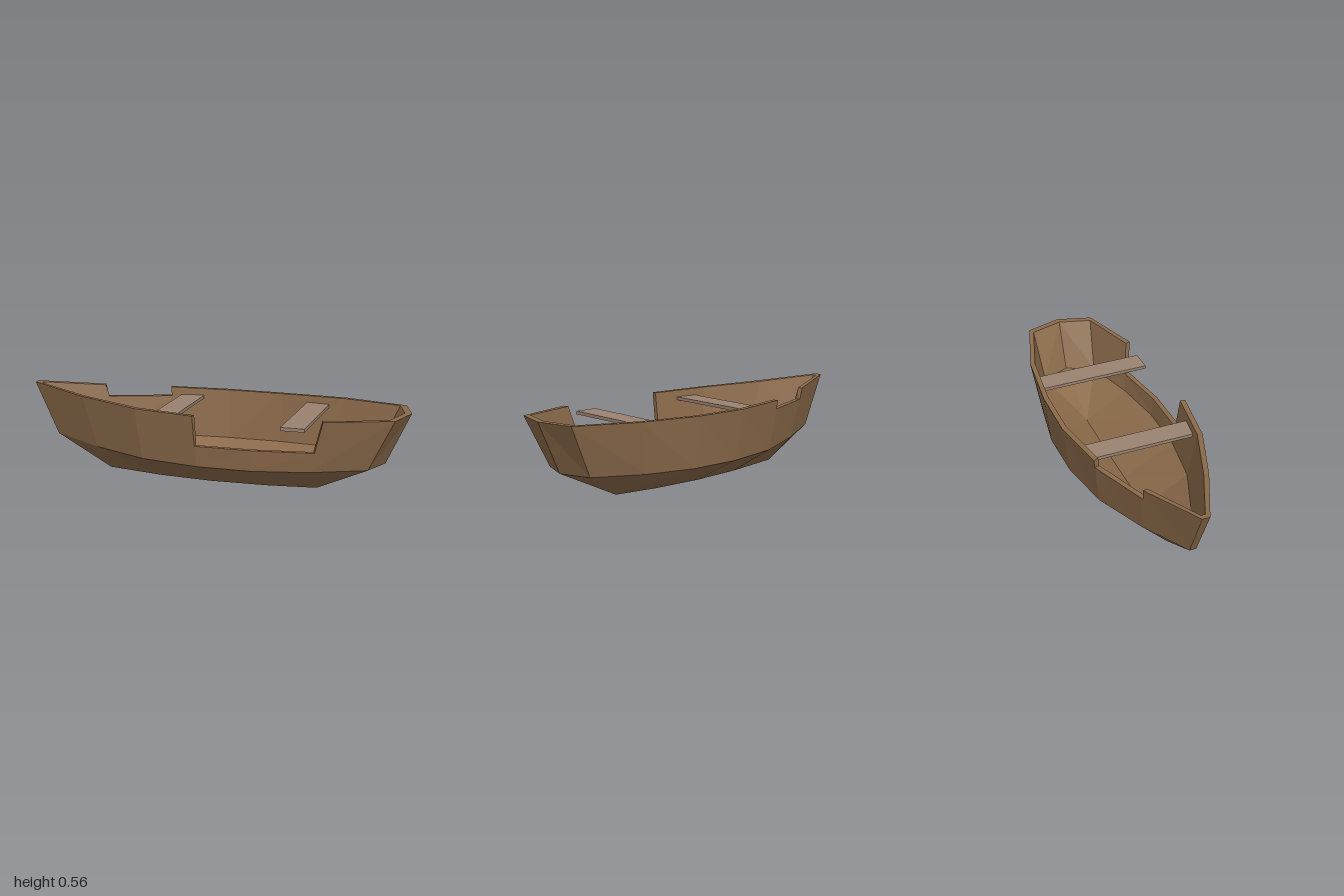
import * as THREE from 'three';

// Stations run bow to stern as [z, half width, y].
const rimOut = [[-1.244, 0, 0.555], [-1.244, 0.023, 0.555], [-0.858, 0.197, 0.524], [-0.47, 0.337, 0.506],
  [-0.095, 0.394, 0.5], [0.26, 0.388, 0.5], [0.666, 0.34, 0.507], [1.054, 0.214, 0.513], [1.117, 0, 0.515]];
const rimIn = [[-1.205, 0, 0.55], [-1.205, 0.012, 0.55], [-0.85, 0.168, 0.522], [-0.46, 0.307, 0.506],
  [-0.09, 0.363, 0.5], [0.26, 0.358, 0.5], [0.655, 0.31, 0.507], [1.018, 0.198, 0.513], [1.075, 0, 0.515]];
const chineOut = [[-1.1, 0, 0.233], [-1.1, 0.02, 0.233], [-0.78, 0.17, 0.208], [-0.44, 0.295, 0.192],
  [-0.085, 0.35, 0.186], [0.25, 0.35, 0.186], [0.58, 0.295, 0.192], [0.9, 0.18, 0.201], [0.972, 0, 0.203]];
const chineIn = [[-1.075, 0, 0.29], [-1.075, 0.01, 0.29], [-0.74, 0.15, 0.225], [-0.43, 0.267, 0.207],
  [-0.085, 0.321, 0.2], [0.25, 0.321, 0.2], [0.57, 0.268, 0.207], [0.885, 0.172, 0.22], [0.955, 0, 0.225]];
const keelOut = [[-0.76, 0, 0.034], [-0.76, 0, 0.034], [-0.76, 0, 0.034], [-0.43, 0, 0.01],
  [-0.1, 0, 0], [0.25, 0, 0.003], [0.56, 0, 0.015], [0.56, 0, 0.015], [0.56, 0, 0.015]];
// The inside follows the bottom planking at one plank's thickness
const keelIn = keelOut.map(([z, w, y]) => [z, w, y + 0.036]);

// Lowered top edges where planks are broken away: side -> segment -> height
const broken = { '1': { 2: 0.451 }, '-1': { 4: 0.314, 5: 0.314 } };

// Collects quads; a mirrored side flips the corner order
function makeSkin() {
  const pos = [];
  return {
    quad(side, ...p) {
      const order = side > 0 ? [0, 1, 2, 0, 2, 3] : [0, 2, 1, 0, 3, 2];
      for (const k of order) {
        const [z, w, y] = p[k];
        pos.push(side * w, y - 0.02 * side * w, z); // slight list to one side
      }
    },
    mesh(name, material) {
      const g = new THREE.BufferGeometry();
      g.setAttribute('position', new THREE.Float32BufferAttribute(pos, 3));
      g.computeVertexNormals();
      const m = new THREE.Mesh(g, material);
      m.name = name;
      return m;
    },
  };
}

// Point on the wall between chine and rim at a given height
function atHeight(low, high, y) {
  const f = (y - low[2]) / (high[2] - low[2]);
  return low.map((v, k) => v + (high[k] - v) * f);
}

export function createModel() {
  const wood = new THREE.MeshStandardMaterial({ color: 0x8b6a4a, flatShading: true, side: THREE.DoubleSide });
  const paleWood = new THREE.MeshStandardMaterial({ color: 0x9a8270, flatShading: true });
  const walls = makeSkin(), bottom = makeSkin(), floor = makeSkin();

  for (const side of [1, -1]) {
    for (let i = 0; i < rimOut.length - 1; i++) {
      const j = i + 1;
      const cut = broken[side][i];
      const top = (low, high, k) => (cut ? atHeight(low[k], high[k], cut) : high[k]);
      const oi = top(chineOut, rimOut, i), oj = top(chineOut, rimOut, j);
      const ni = top(chineIn, rimIn, i), nj = top(chineIn, rimIn, j);
      // Side planking: outside, top edge, inside
      walls.quad(side, chineOut[i], oi, oj, chineOut[j]);
      walls.quad(side, oi, ni, nj, oj);
      walls.quad(side, chineIn[i], chineIn[j], nj, ni);
      // Exposed plank ends beside a broken stretch
      if (!cut && broken[side][i - 1]) walls.quad(side, chineOut[i], chineIn[i], ni, oi);
      if (!cut && broken[side][j]) walls.quad(side, chineOut[j], oj, nj, chineIn[j]);
      // Bottom planking and inner floor
      bottom.quad(side, chineOut[i], chineOut[j], keelOut[j], keelOut[i]);
      floor.quad(side, chineIn[i], keelIn[i], keelIn[j], chineIn[j]);
    }
  }

  const boat = new THREE.Group();
  boat.name = 'boat';
  boat.add(walls.mesh('hullSides', wood), bottom.mesh('hullBottom', wood), floor.mesh('floor', wood));

  // Seat boards across the hull
  [['frontSeat', -0.32, 0.665], ['rearSeat', 0.49, 0.69]].forEach(([name, z, width]) => {
    const seat = new THREE.Mesh(new THREE.BoxGeometry(width, 0.02, 0.143), paleWood);
    seat.name = name;
    seat.position.set(-0.005, 0.452, z);
    seat.rotation.z = -0.02;
    boat.add(seat);
  });

  // The boat lies diagonally
  boat.rotation.y = Math.asin(0.594);
  boat.position.set(-0.02, 0, 0.015);
  const model = new THREE.Group();
  model.name = 'rowingBoat';
  model.add(boat);
  return model;
}
